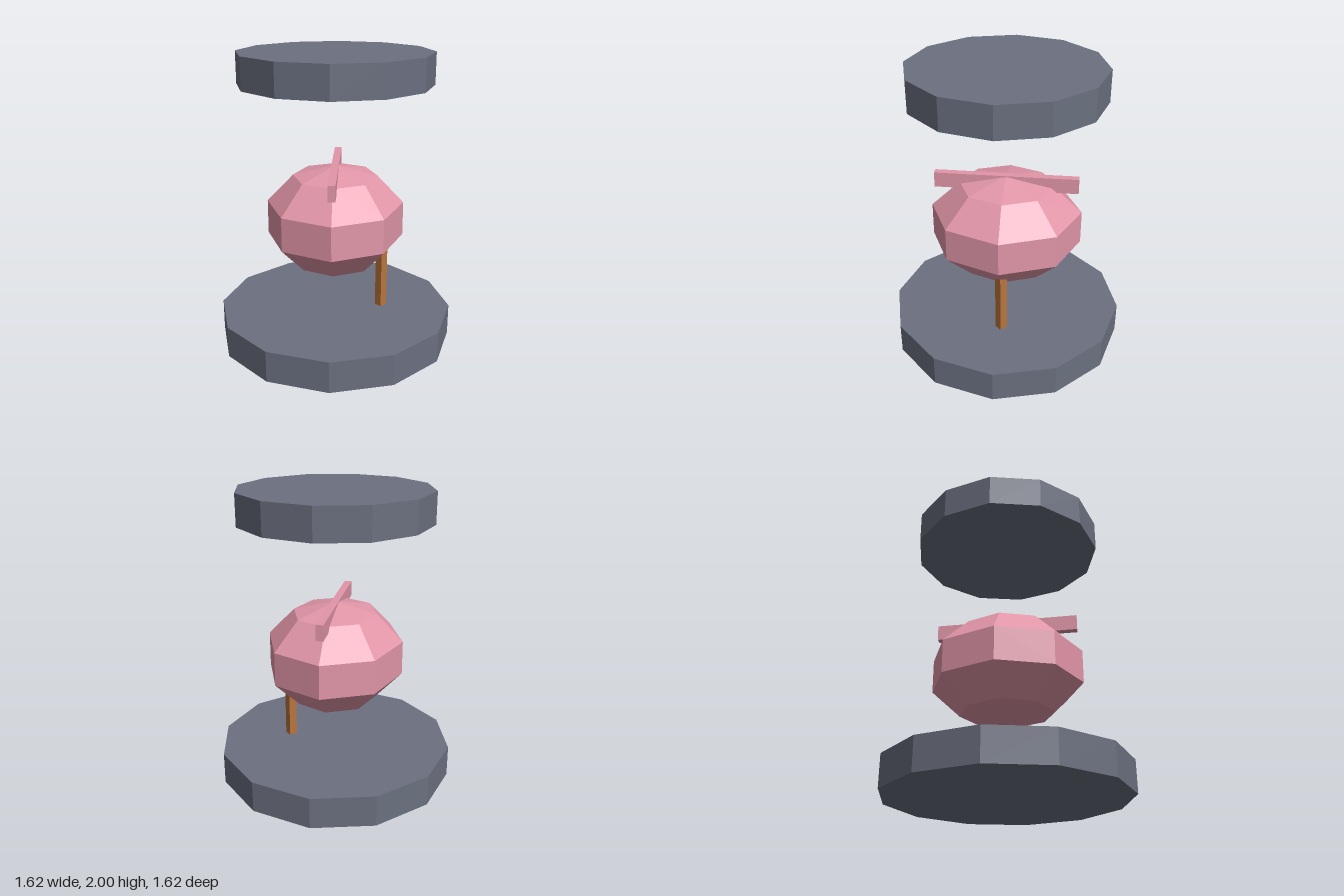
import * as THREE from 'three';

export function createModel() {
  const group = new THREE.Group();
  const mat = (name, color) => {
    const m = new THREE.MeshStandardMaterial({ color, flatShading: true });
    m.name = name;
    return m;
  };
  const slate = mat('slate grey', 0x6b7080);
  const pink = mat('rose pink', 0xe296a8);
  const wood = mat('warm brown', 0xb8743c);

  const add = (name, geometry, material, x, y, z) => {
    const mesh = new THREE.Mesh(geometry, material);
    mesh.name = name;
    mesh.position.set(x, y, z);
    group.add(mesh);
    return mesh;
  };

  // Twelve-sided platform and the floating canopy disc
  add('base', new THREE.CylinderGeometry(0.81, 0.81, 0.215, 12), slate, 0, 0.1075, 0);
  add('canopy', new THREE.CylinderGeometry(0.648, 0.648, 0.212, 12), slate, 0, 1.894, 0);

  // Faceted body, slightly longer front to back
  const body = new THREE.SphereGeometry(1, 8, 5).scale(0.489, 0.374, 0.542);
  add('body', body, pink, 0, 0.869, 0);

  // Ridge bar along the top of the body
  add('ridgeBar', new THREE.BoxGeometry(0.05, 0.106, 0.974), pink, 0, 1.192, 0);

  // Off-centre diamond post rising into the body
  add('post', new THREE.CylinderGeometry(0.04, 0.04, 0.6, 4), wood, 0.325, 0.5, 0);

  return group;
}
